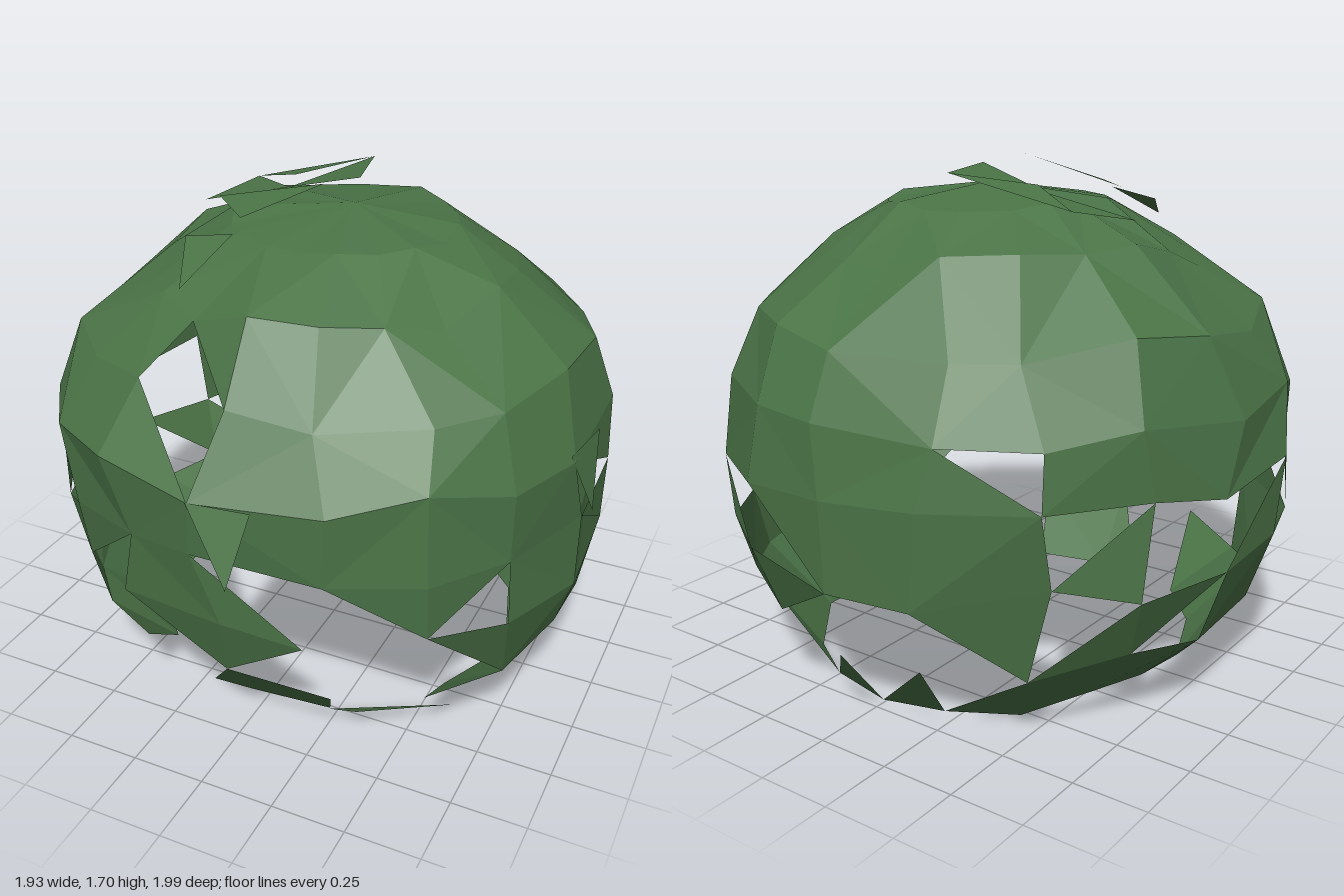
import * as THREE from 'three';

const COLUMNS = 18;

// rings from hem to crown: [height, half width, front depth, back depth, x offset]
const RINGS = [
  [0.06, 0.65, 0.58, 0.72, 0.0],
  [0.30, 0.88, 0.81, 0.91, 0.0],
  [0.55, 0.95, 0.88, 0.99, -0.01],
  [0.80, 0.96, 0.90, 1.0, -0.01],
  [1.03, 0.95, 0.92, 0.97, -0.01],
  [1.25, 0.86, 0.77, 0.86, 0.0],
  [1.46, 0.59, 0.62, 0.66, 0.01],
  [1.60, 0.37, 0.33, 0.42, 0.03],
];

// which part of each panel is present, starting at the front and turning to the left (+x):
// # whole, . gap, a-d a single torn triangle
const PANELS = [
  '#.b####accc#####dc',
  'd.b#####d.bcd###.b',
  'abd#b..ab##c.cbcd#',
  '####bd####a#######',
  '#################a',
  '#################b',
  '##################',
];

const TEARS = {
  a: ['bl', 'br', 'tl'], b: ['br', 'tr', 'tl'],
  c: ['bl', 'br', 'tr'], d: ['bl', 'tr', 'tl'],
};

function seeded(seed) {
  let s = seed;
  return (amount) => {
    s = (s * 16807) % 2147483647;
    return (s / 2147483647 * 2 - 1) * amount;
  };
}

function geometryFrom(points) {
  const geometry = new THREE.BufferGeometry().setFromPoints(points);
  geometry.computeVertexNormals();
  return geometry;
}

// hollow faceted dome, open below
function canopyGeometry() {
  const jitter = seeded(4711);
  const grid = RINGS.map(([y, halfX, front, back, cx], row) => {
    const ring = [];
    for (let i = 0; i < COLUMNS; i++) {
      const angle = i / COLUMNS * Math.PI * 2 + jitter(0.06);
      const c = Math.cos(angle);
      const r = 1 + jitter(0.015);
      ring.push(new THREE.Vector3(
        cx + Math.sin(angle) * halfX * r,
        Math.max(0, y + jitter(row === RINGS.length - 1 ? 0.015 : 0.04)),
        c * (c > 0 ? front : back) * r));
    }
    return ring;
  });

  const points = [];
  PANELS.forEach((line, row) => {
    [...line].forEach((kind, i) => {
      const j = (i + 1) % COLUMNS;
      const corner = {
        bl: grid[row][i], br: grid[row][j],
        tl: grid[row + 1][i], tr: grid[row + 1][j],
      };
      const tears = kind === '#' ? ((row + i) % 2 ? ['a', 'b'] : ['c', 'd'])
        : kind === '.' ? [] : [kind];
      tears.forEach((t) => TEARS[t].forEach((name) => points.push(corner[name])));
    });
  });

  // closed crown
  const apex = new THREE.Vector3(0.06, 1.645, -0.03);
  const crown = grid[RINGS.length - 1];
  crown.forEach((p, i) => points.push(p, crown[(i + 1) % COLUMNS], apex));
  return geometryFrom(points);
}

// loose leaf shards: three corners each
const LEAVES = [
  [-0.53, 1.56, -0.08, -0.23, 1.63, -0.13, -0.43, 1.60, -0.29],
  [-0.43, 1.60, -0.29, -0.23, 1.66, -0.18, -0.02, 1.70, -0.37],
  [-0.23, 1.63, -0.13, 0.05, 1.71, -0.09, -0.02, 1.70, -0.37],
  [-0.38, 1.64, 0.08, -0.21, 1.64, 0.25, 0.0, 1.73, 0.08],
  [-0.37, 1.58, 0.32, -0.26, 1.50, 0.55, -0.20, 1.61, 0.32],
  [-0.05, 1.01, 0.92, 0.12, 0.80, 1.0, 0.16, 1.02, 0.91],
  [0.90, 1.03, 0.22, 0.96, 0.80, 0.12, 0.93, 1.03, 0.0],
  [0.24, 0.06, 0.55, 0.62, 0.07, 0.36, 0.36, 0.13, 0.60],
];

export function createModel() {
  const leafGreen = new THREE.MeshStandardMaterial({
    color: 0x4b7447, flatShading: true, side: THREE.DoubleSide,
  });
  leafGreen.name = 'leafGreen';

  const group = new THREE.Group();
  group.name = 'bush';

  const canopy = new THREE.Mesh(canopyGeometry(), leafGreen);
  canopy.name = 'canopy';
  group.add(canopy);

  const corners = LEAVES.flatMap((l) =>
    [0, 3, 6].map((k) => new THREE.Vector3(l[k], l[k + 1], l[k + 2])));
  const leaves = new THREE.Mesh(geometryFrom(corners), leafGreen);
  leaves.name = 'looseLeaves';
  group.add(leaves);
  return group;
}
